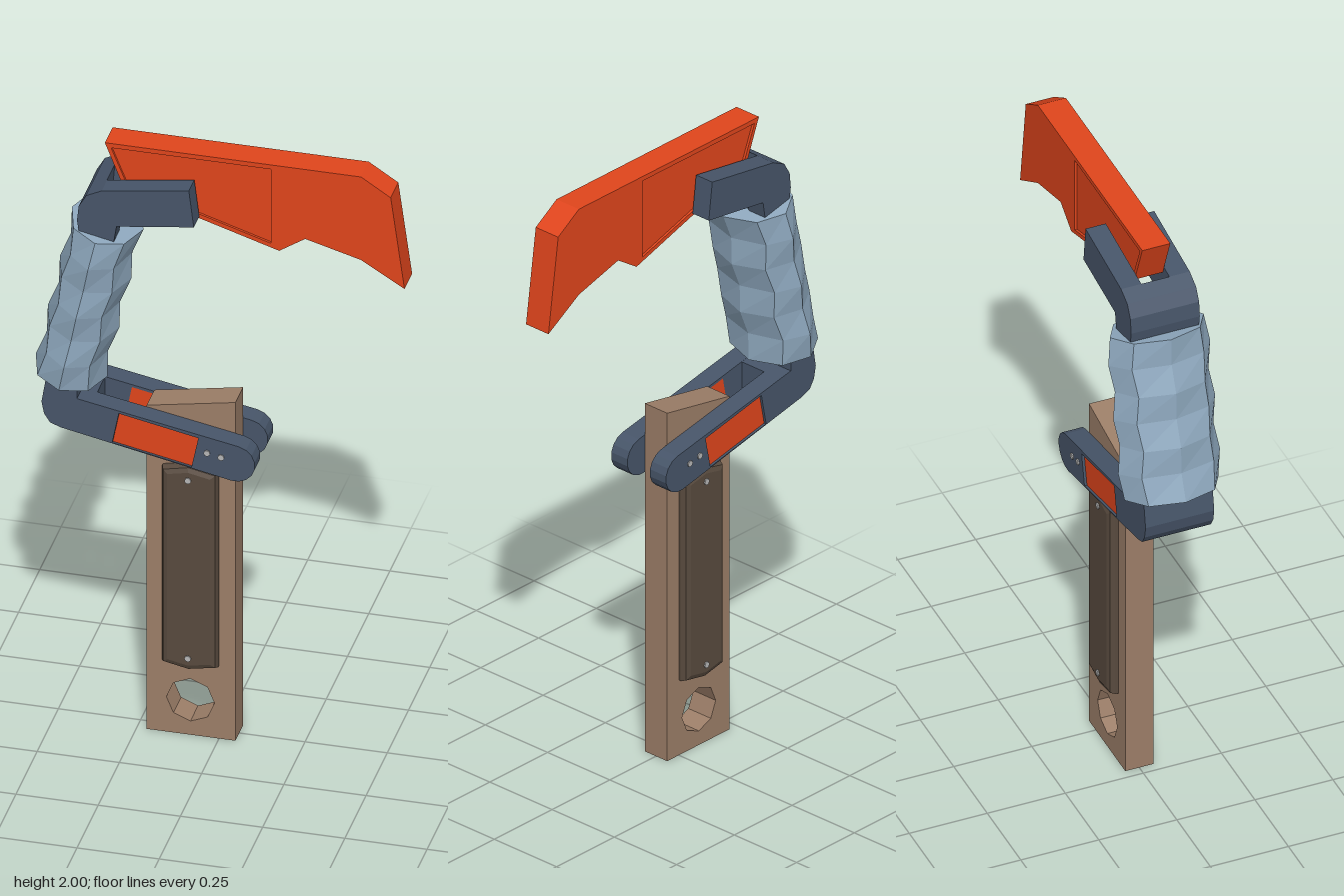
import * as THREE from 'three';

const mat = (color) => new THREE.MeshStandardMaterial({ color, flatShading: true });
const orange = mat(0xe0451c), slate = mat(0x475569), steel = mat(0x8fa9bf),
  wood = mat(0x9c7e68), darkWood = mat(0x584a3e), metal = mat(0xb8b8b8);

const pts = (list) => list.map(([x, y]) => new THREE.Vector2(x, y));

function add(parent, name, geometry, material) {
  const mesh = new THREE.Mesh(geometry, material);
  mesh.name = name;
  parent.add(mesh);
  return mesh;
}

// Flat plate in the xy plane between two depths, with optional holes
function plate(outline, z0, z1, holes = [], bevel = 0) {
  const shape = new THREE.Shape(pts(outline));
  for (const h of holes) shape.holes.push(new THREE.Path(pts(h)));
  const g = new THREE.ExtrudeGeometry(shape, {
    depth: z1 - z0 - 2 * bevel, bevelEnabled: bevel > 0, bevelSize: bevel,
    bevelThickness: bevel, bevelOffset: -bevel, bevelSegments: 2,
  });
  return g.translate(0, 0, z0 + bevel);
}

const arc = (cx, cy, r, a0, a1, n) => Array.from({ length: n + 1 }, (_, i) => {
  const a = a0 + (a1 - a0) * i / n;
  return [cx + r * Math.cos(a), cy + r * Math.sin(a)];
});

function screw(parent, x, y, z, r) {
  const s = add(parent, 'screw', new THREE.CylinderGeometry(r, r, 0.02, 8), metal);
  s.rotation.x = Math.PI / 2;
  s.position.set(x, y, z);
}

// Ribbed eight-sided sleeve, built from rings of alternating width
function sleeveGeometry(length, ribs) {
  const g = new THREE.CylinderGeometry(1, 1, length, 8, ribs);
  const p = g.attributes.position;
  for (let i = 0; i < p.count; i++) {
    const ring = Math.round((p.getY(i) / length + 0.5) * ribs);
    const wide = ring % 2 === 0;
    p.setX(i, p.getX(i) * (wide ? 0.111 : 0.095));
    p.setZ(i, p.getZ(i) * (wide ? 0.15 : 0.163));
  }
  return g;
}

export function createModel() {
  const model = new THREE.Group();
  model.name = 'hinged tool';
  const T = 0.045, W = 0.11; // half thickness of the plates, half width of the forks

  // Post with a slanted top and a hanging hole
  add(model, 'post', plate([[-0.22, 0], [0.05, 0], [0.05, 1.165], [-0.22, 1.115]], -T, T,
    [arc(-0.087, 0.12, 0.073, 0, -Math.PI * 1.75, 7)]), wood);

  // Chamfered handle scales on both faces of the post
  const scale = [[-0.17, 0.252], [-0.087, 0.235], [0, 0.252], [0, 0.922], [-0.087, 0.94], [-0.17, 0.922]];
  add(model, 'handleScales', plate(scale, -0.075, 0.075, [], 0.02), darkWood);

  // Lower fork: two arms with a recessed inlay, joined by a solid bend
  const lower = new THREE.Group();
  lower.name = 'lowerFork';
  model.add(lower);
  const lowerOutline = [
    [-0.415, 1.24], [-0.5, 1.26], [-0.523, 1.12], [-0.515, 1.08], [-0.497, 1.052], [-0.465, 1.04],
    ...arc(0.065, 0.995, 0.061, -1.76, 1.38, 8), [-0.415, 1.146],
  ];
  const inlay = [[-0.288, 1.114], [-0.046, 1.066], [-0.067, 0.963], [-0.308, 1.011]];
  const lowerCore = [
    [-0.415, 1.24], [-0.5, 1.26], [-0.523, 1.12], [-0.515, 1.08], [-0.497, 1.052], [-0.465, 1.04],
    [-0.37, 1.021], [-0.37, 1.137], [-0.415, 1.146],
  ];
  add(lower, 'lowerBend', plate(lowerCore, -T, T), slate);

  // Upper fork: holds the head
  const upper = new THREE.Group();
  upper.name = 'upperFork';
  model.add(upper);
  const bend = [[-0.075, 1.913], [-0.34, 1.873], [-0.387, 1.85], [-0.41, 1.81], [-0.415, 1.76], [-0.4, 1.66], [-0.31, 1.66]];
  const upperOutline = [...bend, [-0.295, 1.757], [-0.06, 1.79]];
  const upperCore = [[-0.34, 1.873], ...bend.slice(2), [-0.305, 1.7], [-0.35, 1.75]];
  add(upper, 'upperBend', plate(upperCore, -T, T), slate);

  for (const side of [1, -1]) {
    const span = (a, b) => (side > 0 ? [a, b] : [-b, -a]);
    add(lower, 'lowerArm', plate(lowerOutline, ...span(T, W), [inlay]), slate);
    add(lower, 'armInlay', plate(inlay, ...span(T, W - 0.008)), orange);
    add(upper, 'upperArm', plate(upperOutline, ...span(T, W)), slate);
    for (const x of [-0.02, 0.023]) screw(lower, x, 1.015 - x * 0.2, side * 0.104, 0.01);
    for (const y of [0.28, 0.893]) screw(model, -0.087, y, side * 0.069, 0.01);
  }

  // Ribbed sleeve between the forks
  const sleeve = add(model, 'ribbedSleeve', sleeveGeometry(0.534, 6), steel);
  sleeve.position.set(-0.405, 1.452, 0);
  sleeve.rotation.z = -0.207;

  // Head with a shallow recessed panel on each face
  const head = new THREE.Group();
  head.name = 'head';
  model.add(head);
  const headOutline = [
    [-0.347, 2], [-0.29, 1.855], [0.183, 1.708], [0.262, 1.761], [0.432, 1.714],
    [0.564, 1.634], [0.522, 1.942], [0.432, 2],
  ];
  const panel = [[-0.328, 1.985], [0.158, 1.985], [0.158, 1.73], [-0.28, 1.866]];
  add(head, 'headFrame', plate(headOutline, -T, T, [panel]), orange);
  add(head, 'headPanel', plate(panel, -T + 0.008, T - 0.008), orange);

  return model;
}
